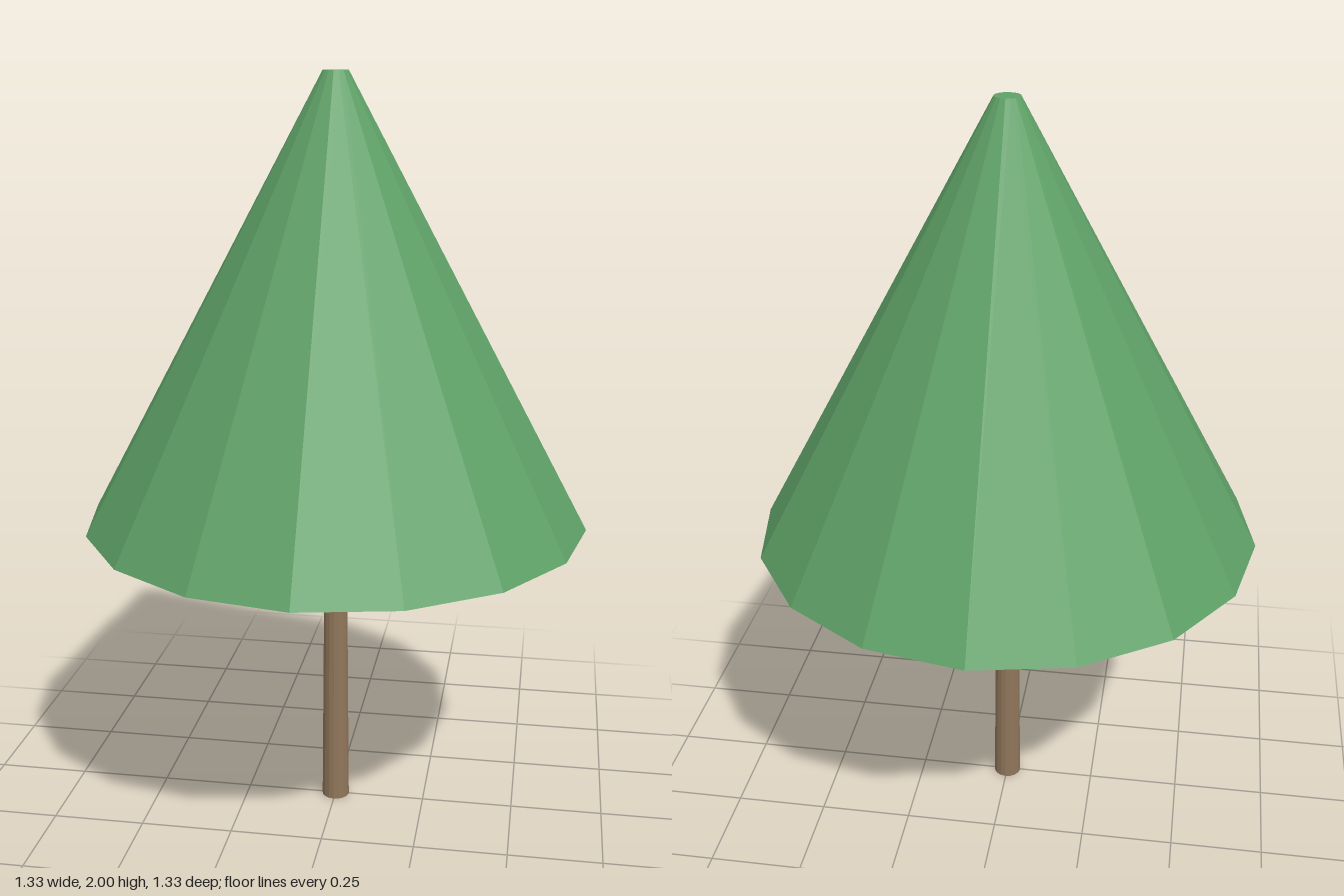
import * as THREE from 'three';

export function createModel() {
  const tree = new THREE.Group();
  tree.name = 'tree';

  const leafGreen = new THREE.MeshStandardMaterial({ color: 0x5fa167, flatShading: true });
  leafGreen.name = 'leafGreen';
  const barkBrown = new THREE.MeshStandardMaterial({ color: 0x8f755a, flatShading: true });
  barkBrown.name = 'barkBrown';

  // Tapered upright part standing between two heights
  function taper(name, bottomRadius, topRadius, y0, y1, sides, material) {
    const geometry = new THREE.CylinderGeometry(topRadius, bottomRadius, y1 - y0, sides);
    const mesh = new THREE.Mesh(geometry, material);
    mesh.name = name;
    mesh.position.y = (y0 + y1) / 2;
    tree.add(mesh);
  }

  // Slim trunk, running a little way into the foliage
  taper('trunk', 0.038, 0.03, 0, 0.86, 16, barkBrown);
  // Sixteen-sided foliage cone with a small flat tip
  taper('foliage', 0.667, 0.033, 0.835, 2, 16, leafGreen);

  return tree;
}
